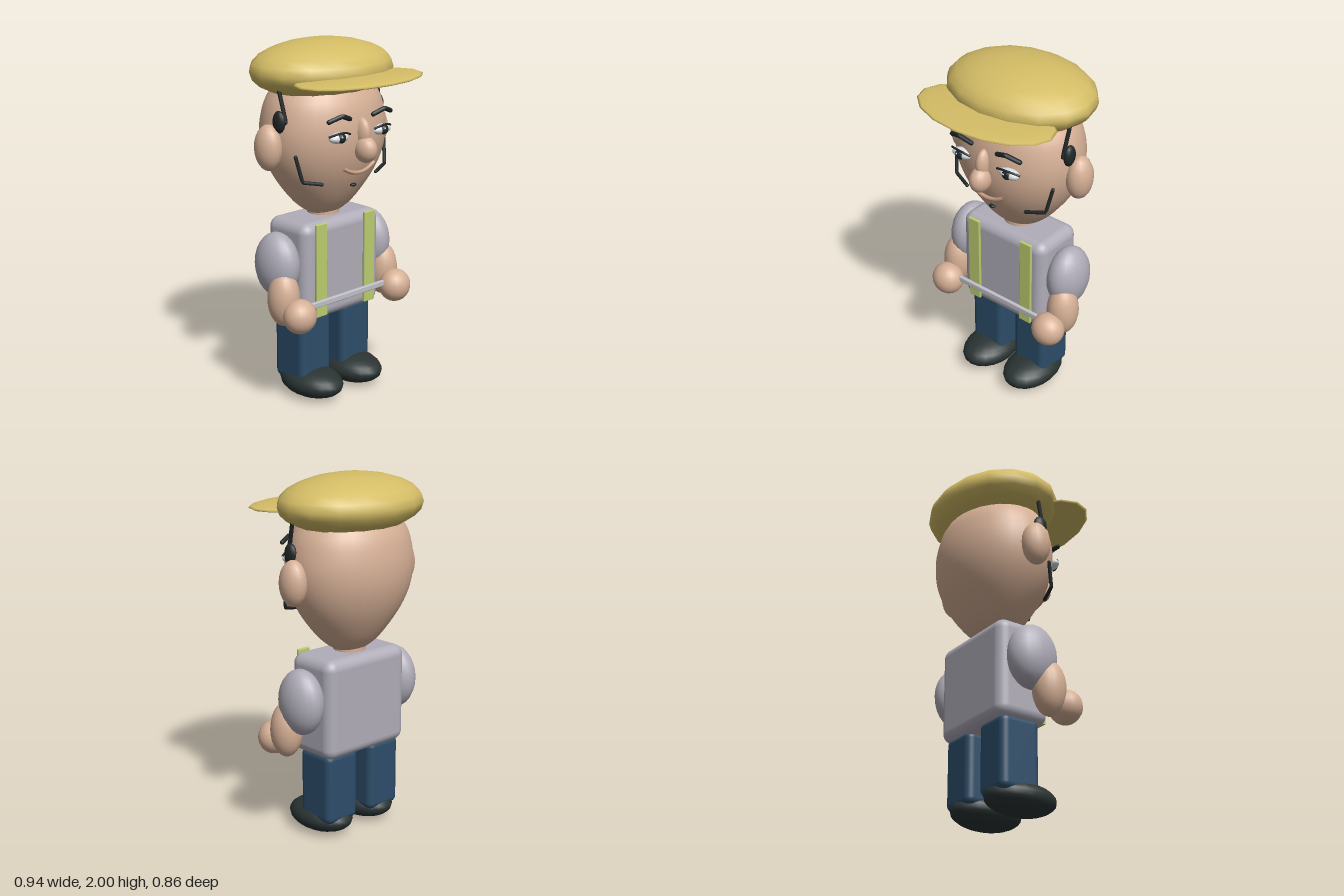
import * as THREE from 'three';
import { RoundedBoxGeometry } from 'three/addons/geometries/RoundedBoxGeometry.js';

const mat = (name, color) => {
  const m = new THREE.MeshStandardMaterial({ color });
  m.name = name;
  return m;
};

export function createModel() {
  const skin = mat('skin', 0xd6b096);
  const lip = mat('lip', 0xcb9f84);
  const mustard = mat('mustard cloth', 0xd4bd66);
  const shirt = mat('grey shirt', 0xb0adb9);
  const denim = mat('blue trousers', 0x2c4d69);
  const leather = mat('dark shoe', 0x2a3333);
  const hair = mat('black hair', 0x1f2727);
  const lime = mat('lime strap', 0xbccd70);
  const silver = mat('silver bar', 0xc2c0c9);
  const white = mat('eye white', 0xdde1e5);

  const model = new THREE.Group();
  model.name = 'capped figure';

  const add = (name, geometry, material, pos = [0, 0, 0]) => {
    const mesh = new THREE.Mesh(geometry, material);
    mesh.name = name;
    mesh.position.set(...pos);
    model.add(mesh);
    return mesh;
  };
  const ellipsoid = (name, material, pos, radii, w = 20, h = 14) =>
    add(name, new THREE.SphereGeometry(1, w, h).scale(...radii), material, pos);
  const box = (name, material, pos, size, radius) =>
    add(name, new RoundedBoxGeometry(...size, 4, radius), material, pos);

  // Bent strip through a few points, with rounded joints and closed ends
  const strip = (name, material, points, radius) => {
    const path = new THREE.CurvePath();
    const v = points.map((p) => new THREE.Vector3(...p));
    for (let i = 1; i < v.length; i++) path.add(new THREE.LineCurve3(v[i - 1], v[i]));
    add(name, new THREE.TubeGeometry(path, 8 * (v.length - 1), radius, 8), material);
    for (const p of [v[0], v[v.length - 1]]) {
      ellipsoid(name + 'End', material, p.toArray(), [radius, radius, radius], 8, 6);
    }
  };

  // Head: egg turned from a profile and flattened front to back
  const profile = [
    [0, 1.03], [0.08, 1.04], [0.172, 1.1], [0.26, 1.2], [0.325, 1.3], [0.365, 1.4],
    [0.38, 1.5], [0.37, 1.6], [0.335, 1.7], [0.25, 1.8], [0.15, 1.86], [0, 1.89],
  ].map((p) => new THREE.Vector2(...p));
  const outline = new THREE.SplineCurve(profile).getPoints(36);
  outline.forEach((p) => { p.x = Math.max(p.x, 0); });
  add('head', new THREE.LatheGeometry(outline, 32).scale(1, 1, 0.803), skin, [0, 0, -0.085]);
  add('neck', new THREE.CylinderGeometry(0.09, 0.09, 0.07, 20), skin, [0, 1.035, -0.085]);

  // Cap with a wide flat brim
  ellipsoid('cap', mustard, [0, 1.84, -0.093], [0.437, 0.16, 0.338], 16, 12);
  ellipsoid('capBrim', mustard, [0, 1.81, 0.195], [0.425, 0.025, 0.235], 16, 12);

  // Nose, mouth and chin tuft
  ellipsoid('noseBridge', skin, [0, 1.525, 0.21], [0.037, 0.085, 0.058]);
  ellipsoid('noseTip', skin, [0, 1.44, 0.24], [0.055, 0.072, 0.07]);
  const smile = new THREE.QuadraticBezierCurve3(
    new THREE.Vector3(-0.115, 1.345, 0.19),
    new THREE.Vector3(0, 1.27, 0.2),
    new THREE.Vector3(0.115, 1.345, 0.19));
  add('mouth', new THREE.TubeGeometry(smile, 20, 0.011, 8), lip);
  ellipsoid('chinTuft', hair, [0, 1.23, 0.15], [0.02, 0.01, 0.015], 10, 8);

  // Torso, shoulder straps and waist bar
  box('torso', shirt, [0, 0.755, -0.08], [0.58, 0.56, 0.32], 0.06);
  box('waistBar', silver, [0, 0.59, 0.11], [0.57, 0.034, 0.022], 0.006);

  for (const s of [1, -1]) {
    // Face details
    ellipsoid('ear', skin, [s * 0.4, 1.46, -0.083], [0.07, 0.125, 0.083], 16, 12);
    ellipsoid('eyeWhite', white, [s * 0.16, 1.52, 0.2], [0.065, 0.029, 0.035]);
    ellipsoid('iris', hair, [s * 0.16, 1.521, 0.222], [0.029, 0.027, 0.018], 14, 10);
    ellipsoid('eyeGlint', white, [s * 0.16 - 0.009, 1.53, 0.238], [0.006, 0.006, 0.004], 8, 6);
    const lid = new THREE.QuadraticBezierCurve3(
      new THREE.Vector3(s * 0.09, 1.532, 0.215),
      new THREE.Vector3(s * 0.16, 1.567, 0.25),
      new THREE.Vector3(s * 0.232, 1.532, 0.2));
    add('upperLid', new THREE.TubeGeometry(lid, 12, 0.006, 6), hair);
    strip('eyebrow', hair,
      [[s * 0.088, 1.613, 0.21], [s * 0.158, 1.638, 0.225], [s * 0.23, 1.613, 0.2]], 0.013);

    // Side hair and whisker lines
    strip('sideHair', hair, [[s * 0.362, 1.76, -0.035], [s * 0.352, 1.6, 0.004]], 0.011);
    ellipsoid('sideburn', hair, [s * 0.37, 1.6, -0.03], [0.026, 0.06, 0.042], 14, 10);
    strip('whisker', hair,
      [[s * 0.333, 1.42, 0.055], [s * 0.312, 1.285, 0.085], [s * 0.205, 1.262, 0.12]], 0.01);

    // Strap
    box('strap', lime, [s * 0.184, 0.77, 0.09], [0.08, 0.53, 0.018], 0.005);

    // Arm
    ellipsoid('sleeve', shirt, [s * 0.35, 0.803, -0.08], [0.105, 0.182, 0.145]);
    ellipsoid('forearm', skin, [s * 0.382, 0.635, 0.005], [0.088, 0.155, 0.092]);
    ellipsoid('hand', skin, [s * 0.37, 0.56, 0.12], [0.095, 0.095, 0.088]);

    // Leg and shoe
    box('trouserLeg', denim, [s * 0.157, 0.295, -0.09], [0.225, 0.41, 0.24], 0.04);
    ellipsoid('shoe', leather, [s * 0.156, 0.086, -0.02], [0.145, 0.086, 0.21]);
  }
  return model;
}
